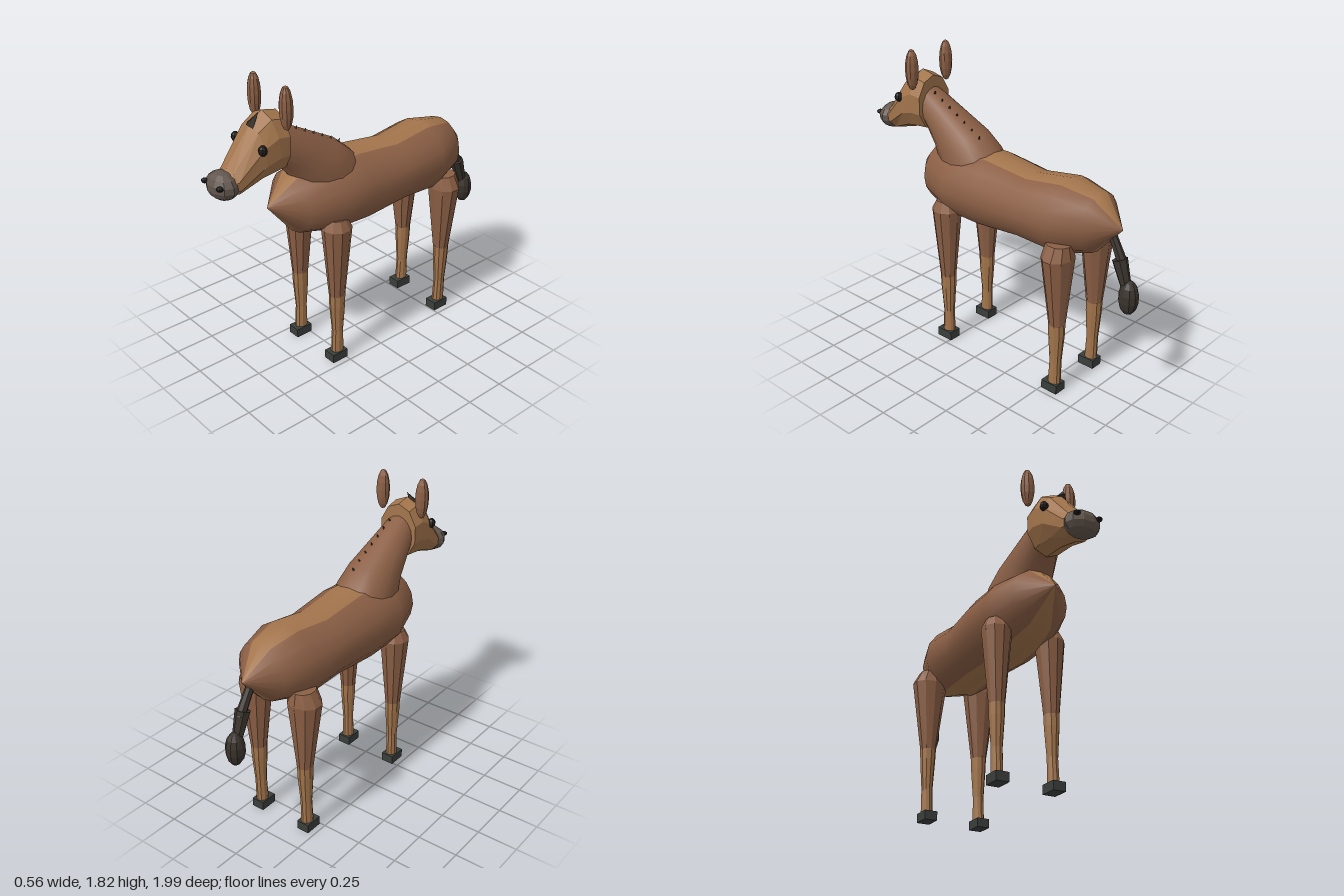
import * as THREE from 'three';

const HIDE = 0x8b5f45, TAN = 0xa3754c, DARK = 0x3a332d, HOOF = 0x3a3f3c, MUZZLE = 0x62564d;

// Skin of oval rings; each ring is [zTop, yTop, zBottom, yBottom, halfWidth, xCentre]
function loft(rings, n, caps = false) {
  const pos = [], index = [];
  for (const [zt, yt, zb, yb, w, x = 0] of rings) {
    for (let j = 0; j < n; j++) {
      const a = (j / n) * Math.PI * 2, c = (1 + Math.cos(a)) / 2;
      pos.push(x + w * Math.sin(a), yb + (yt - yb) * c, zb + (zt - zb) * c);
    }
  }
  for (let j = 0; j < n; j++) {
    const k = (j + 1) % n;
    for (let i = 0; i < rings.length - 1; i++) {
      const p = i * n, q = p + n;
      index.push(p + j, q + j, q + k, p + j, q + k, p + k);
    }
  }
  if (caps) {
    const e = (rings.length - 1) * n;
    for (let j = 1; j < n - 1; j++) index.push(0, j, j + 1, e, e + j + 1, e + j);
  }
  const g = new THREE.BufferGeometry();
  g.setAttribute('position', new THREE.Float32BufferAttribute(pos, 3));
  g.setIndex(index);
  g.computeVertexNormals();
  return g;
}

export function createModel() {
  const model = new THREE.Group();
  model.name = 'horse';

  function add(name, geometry, color, flat = true) {
    const mesh = new THREE.Mesh(geometry, new THREE.MeshStandardMaterial({ color, flatShading: flat }));
    mesh.name = name;
    model.add(mesh);
    return mesh;
  }
  function blob(name, color, [x, y, z], [rx, ry, rz], n = 10, rows = 7) {
    const m = add(name, new THREE.SphereGeometry(1, n, rows), color);
    m.position.set(x, y, z);
    m.scale.set(rx, ry, rz);
    return m;
  }
  function rod(name, color, a, b, ra, rb, n = 7) {
    const from = new THREE.Vector3(...a), to = new THREE.Vector3(...b);
    const m = add(name, new THREE.CylinderGeometry(rb, ra, from.distanceTo(to), n), color);
    m.position.copy(from).add(to).multiplyScalar(0.5);
    m.quaternion.setFromUnitVectors(new THREE.Vector3(0, 1, 0), to.sub(from).normalize());
    return m;
  }

  // Body, with lighter strips along the back and belly
  const bodyRings = [
    [-0.87, 1.07, -0.87, 1.07, 0], [-0.71, 1.24, -0.71, 0.89, 0.17],
    [-0.51, 1.275, -0.51, 0.83, 0.24], [-0.26, 1.235, -0.26, 0.84, 0.23],
    [0.04, 1.27, 0.04, 0.815, 0.25], [0.26, 1.26, 0.26, 0.825, 0.25],
    [0.47, 1.24, 0.47, 0.87, 0.18], [0.635, 1.07, 0.635, 1.07, 0],
  ];
  const body = loft(bodyRings, 16);
  const all = Array.from(body.index.array), per = 6 * (bodyRings.length - 1);
  const inStrip = (t) => [0, 7, 8, 15].includes(Math.floor(t / per));
  const strips = body.clone();
  strips.setIndex(all.filter((_, t) => inStrip(t)));
  body.setIndex(all.filter((_, t) => !inStrip(t)));
  add('body', body, HIDE, false);
  add('backAndBellyStrips', strips, TAN, false);

  // Neck
  add('neck', loft([
    [0, 1.2, 0.35, 0.95, 0.18], [0.06, 1.275, 0.43, 1.12, 0.18],
    [0.16, 1.36, 0.485, 1.23, 0.155], [0.5, 1.54, 0.555, 1.31, 0.105],
    [0.6, 1.58, 0.62, 1.36, 0.09],
  ], 16), HIDE, false);

  // Head
  add('head', loft([
    [0.55, 1.635, 0.55, 1.29, 0.13], [0.64, 1.655, 0.6, 1.285, 0.135],
    [0.72, 1.6, 0.7, 1.275, 0.13], [0.88, 1.39, 0.84, 1.235, 0.1],
    [0.92, 1.36, 0.92, 1.25, 0.08],
  ], 10, true), TAN);
  blob('muzzle', MUZZLE, [0, 1.305, 0.91], [0.11, 0.08, 0.08]);

  for (const s of [1, -1]) {
    const side = s > 0 ? 'left' : 'right';
    blob(side + 'Nostril', 0x1c1a19, [s * 0.07, 1.325, 0.972], [0.021, 0.014, 0.02], 8, 6);
    blob(side + 'Eye', 0x1f1b19, [s * 0.123, 1.487, 0.73], [0.026, 0.03, 0.025], 8, 6);
    blob(side + 'Ear', HIDE, [s * 0.14, 1.69, 0.585], [0.042, 0.125, 0.038], 10, 8);

    // Legs, from the top down: [y, z centre, half depth, x centre, half width]
    const legs = {
      Front: {
        upper: [[0.96, 0.285, 0.06, 0.175, 0.06], [0.9, 0.285, 0.09, 0.175, 0.09], [0.45, 0.287, 0.05, 0.175, 0.046]],
        lower: [[0.45, 0.287, 0.05, 0.175, 0.046], [0.38, 0.287, 0.049, 0.175, 0.044], [0.2, 0.287, 0.035, 0.175, 0.032], [0.04, 0.29, 0.04, 0.175, 0.034]],
        hoofZ: 0.297,
      },
      Hind: {
        upper: [[0.96, -0.575, 0.075, 0.178, 0.065], [0.88, -0.575, 0.09, 0.178, 0.108], [0.45, -0.577, 0.05, 0.175, 0.048]],
        lower: [[0.45, -0.577, 0.05, 0.175, 0.048], [0.38, -0.577, 0.049, 0.175, 0.045], [0.2, -0.575, 0.036, 0.175, 0.033], [0.04, -0.57, 0.04, 0.175, 0.034]],
        hoofZ: -0.56,
      },
    };
    for (const [which, leg] of Object.entries(legs)) {
      const rings = (list) => list.map(([y, z, d, x, w]) => [z + d, y, z - d, y, w, s * x]);
      add(side + which + 'UpperLeg', loft(rings(leg.upper), 10, true), HIDE);
      add(side + which + 'LowerLeg', loft(rings(leg.lower), 10, true), TAN);
      const hoof = add(side + which + 'Hoof', new THREE.BoxGeometry(0.08, 0.055, 0.11), HOOF);
      hoof.position.set(s * 0.175, 0.0275, leg.hoofZ);
    }
  }

  // Mane tufts along the crest, and the forelock
  for (let i = 0; i < 7; i++) {
    const z = 0.14 + i * 0.06, y = 1.345 + (z - 0.14) * 0.54;
    rod('maneTuft', DARK, [0.03, y - 0.03, z + 0.02], [0.035, y + 0.012, z], 0.018, 0.002, 4);
  }
  rod('forelock', DARK, [0.005, 1.59, 0.72], [0.035, 1.665, 0.685], 0.03, 0, 4);

  // Tail
  rod('tailRoot', DARK, [0, 1.05, -0.79], [0.008, 0.87, -0.89], 0.024, 0.03);
  rod('tailMiddle', DARK, [0.008, 0.9, -0.865], [0.01, 0.74, -0.92], 0.045, 0.03);
  blob('tailTuft', DARK, [0.01, 0.69, -0.938], [0.055, 0.105, 0.06]);

  return model;
}
